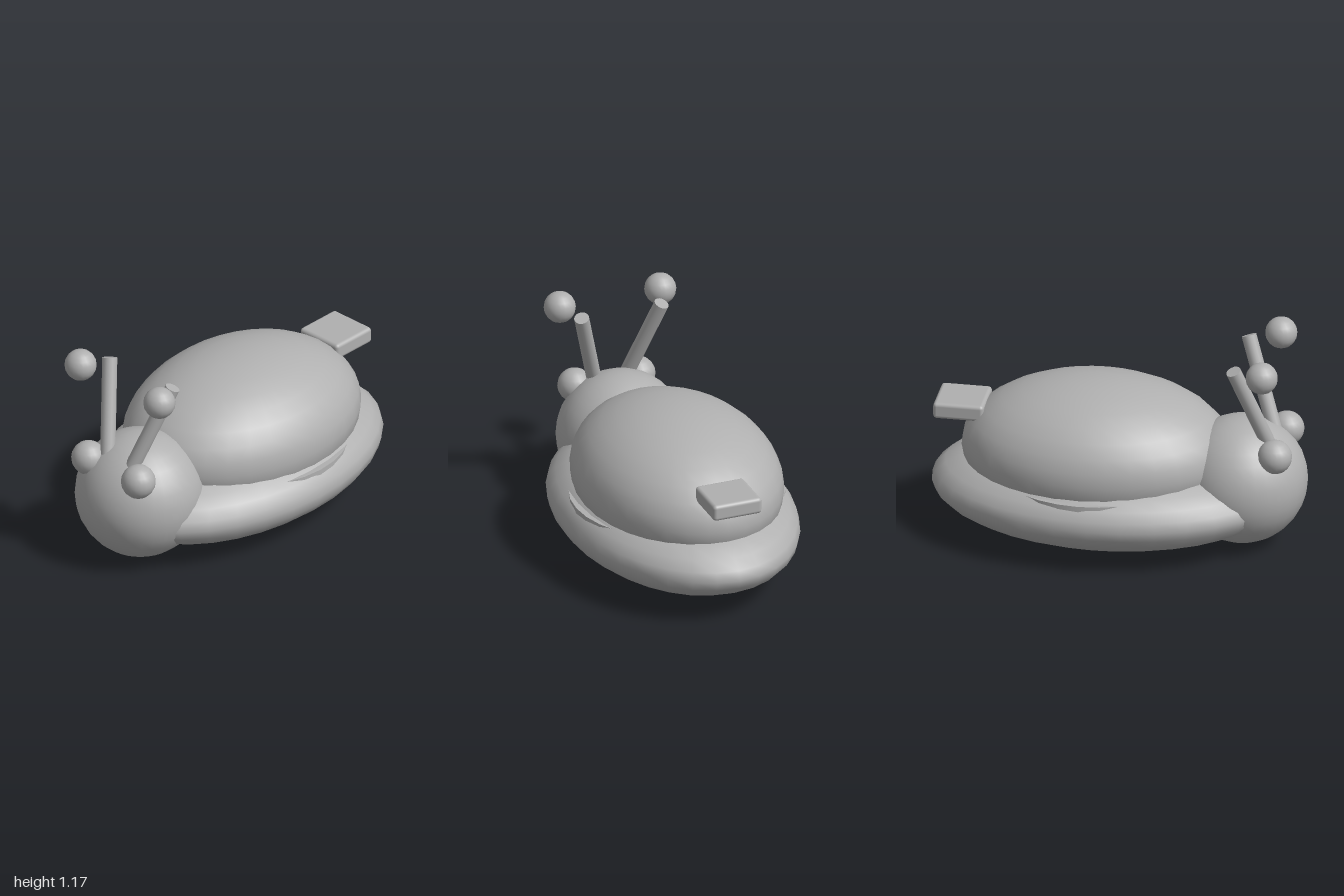
import * as THREE from 'three';
import { RoundedBoxGeometry } from 'three/addons/geometries/RoundedBoxGeometry.js';

export function createModel() {
  const model = new THREE.Group();
  model.name = 'snail';
  const grey = new THREE.MeshStandardMaterial({ color: 0xb0b0b0 });
  grey.name = 'grey';

  const add = (name, geometry, x, y, z) => {
    const mesh = new THREE.Mesh(geometry, grey);
    mesh.name = name;
    mesh.position.set(x, y, z);
    model.add(mesh);
    return mesh;
  };
  const ellipsoid = (name, x, y, z, rx, ry, rz, segments = 32) =>
    add(name, new THREE.SphereGeometry(1, segments, segments / 2).scale(rx, ry, rz), x, y, z);

  // Flat foot, domed shell and round head
  ellipsoid('foot', 0, 0.265, -0.067, 0.615, 0.265, 0.933);
  ellipsoid('shell', 0, 0.48, -0.12, 0.535, 0.385, 0.72);
  ellipsoid('head', 0, 0.36, 0.655, 0.345, 0.345, 0.345);

  // Disc between shell and foot, showing only at the sides
  add('shellRim', new THREE.CylinderGeometry(0.57, 0.57, 0.06, 32), 0, 0.36, -0.12);

  // Tail tab
  add('tailTab', new RoundedBoxGeometry(0.275, 0.09, 0.27, 3, 0.02), 0, 0.67, -0.84);

  // Eyes, feelers and floating feeler tips
  for (const [side, s] of [['left', 1], ['right', -1]]) {
    ellipsoid(side + 'Eye', s * 0.18, 0.583, 0.86, 0.092, 0.092, 0.092, 20);
    ellipsoid(side + 'FeelerTip', s * 0.285, 1.085, 0.81, 0.085, 0.085, 0.085, 20);

    const bottom = new THREE.Vector3(s * 0.084, 0.6, 0.815);
    const top = new THREE.Vector3(s * 0.227, 1.083, 0.648);
    const axis = top.clone().sub(bottom);
    const middle = bottom.clone().add(top).multiplyScalar(0.5);
    const feeler = add(side + 'Feeler', new THREE.CylinderGeometry(0.04, 0.04, axis.length(), 16),
      middle.x, middle.y, middle.z);
    feeler.quaternion.setFromUnitVectors(new THREE.Vector3(0, 1, 0), axis.normalize());
  }
  return model;
}
